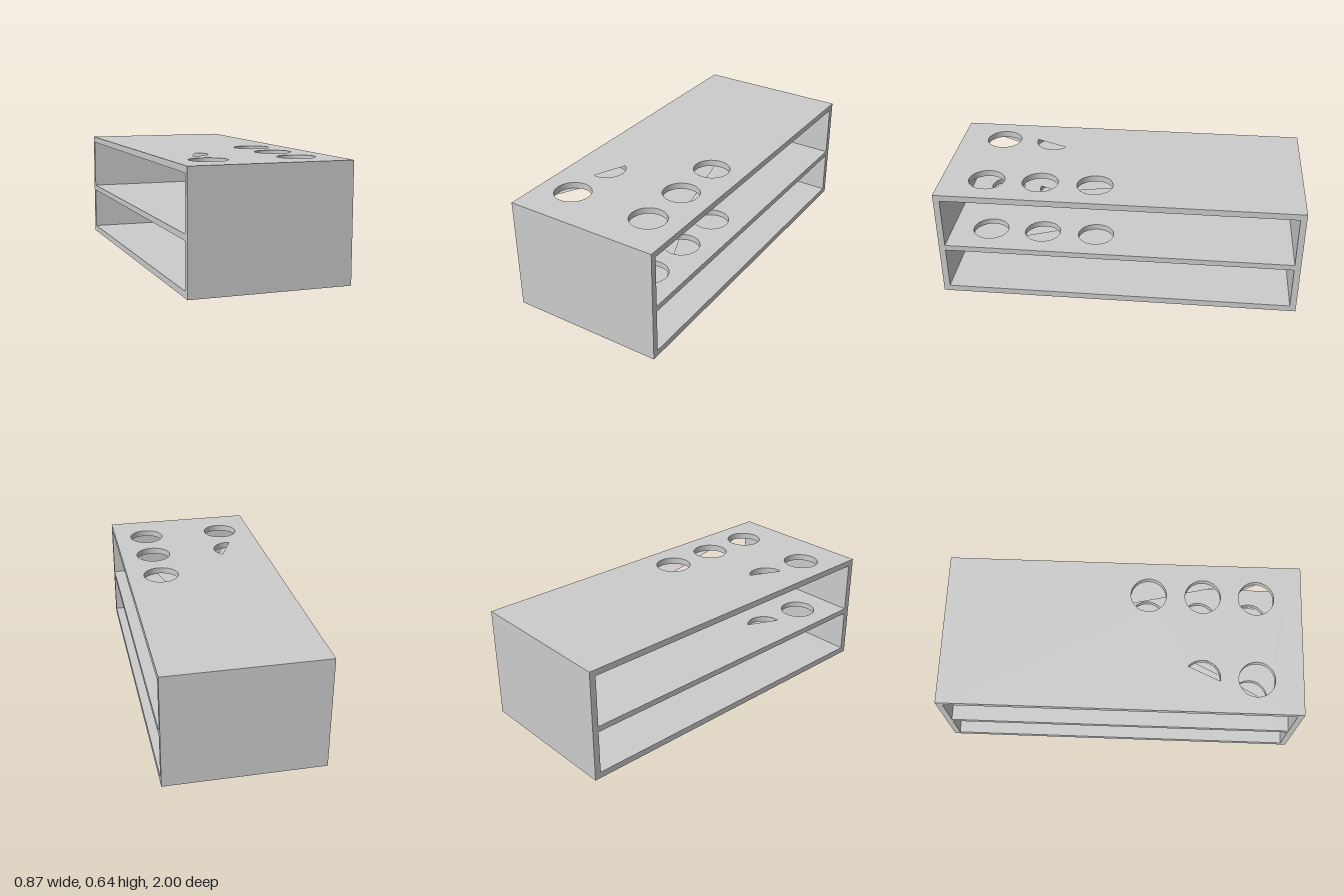
import * as THREE from 'three';

const W = 0.87, H = 0.637, L = 2, T = 0.035, R = 0.1, TAU = Math.PI * 2;
const COLUMNS = [-0.24, 0.24];
const ROWS = [0.745, 0.445, 0.14, -0.16, -0.46, -0.76];

const solid = new THREE.MeshStandardMaterial({ color: 0xcccccc });
const sheet = new THREE.MeshStandardMaterial({ color: 0xcccccc, side: THREE.DoubleSide });

function add(parent, name, geometry, material, x, y, z) {
  const mesh = new THREE.Mesh(geometry, material);
  mesh.name = name;
  mesh.position.set(x, y, z);
  parent.add(mesh);
  return mesh;
}

// Opening from angle a to b on the hole's rim, closed by a straight chord
function opening([x, z, a = 0, b = TAU]) {
  const n = 40, pts = [];
  const count = b - a >= TAU ? n - 1 : n;
  for (let i = 0; i <= count; i++) {
    const t = a + (b - a) * i / n;
    pts.push(new THREE.Vector2(x + R * Math.cos(t), z + R * Math.sin(t)));
  }
  return new THREE.Path(pts);
}

// Flat sheet in the x-z plane pierced by the given openings
function piercedSheet(openings) {
  const w = W / 2, l = L / 2 - T;
  const shape = new THREE.Shape([[-w, -l], [w, -l], [w, l], [-w, l]].map(p => new THREE.Vector2(...p)));
  shape.holes = openings.map(opening);
  return new THREE.ShapeGeometry(shape).rotateX(Math.PI / 2);
}

// Rack panel: upper and lower sheets, long edges and the walls of the holes
function rackPanel(name, y, thickness, upper, lower) {
  const panel = new THREE.Group();
  panel.name = name;
  panel.position.y = y;
  add(panel, 'upperSheet', piercedSheet(upper), sheet, 0, thickness, 0);
  add(panel, 'lowerSheet', piercedSheet(lower), sheet, 0, 0, 0);
  for (const s of [-1, 1]) {
    const edge = new THREE.PlaneGeometry(L - 2 * T, thickness).rotateY(s * Math.PI / 2);
    add(panel, 'longEdge', edge, solid, s * W / 2, thickness / 2, 0);
  }
  for (const x of COLUMNS) for (const z of ROWS) {
    const wall = new THREE.CylinderGeometry(R, R, thickness, 40, 1, true);
    add(panel, 'holeWall', wall, sheet, x, thickness / 2, z);
  }
  return panel;
}

export function createModel() {
  const model = new THREE.Group();
  model.name = 'holedRack';

  // Closed end walls and base
  for (const s of [-1, 1]) {
    add(model, s > 0 ? 'frontWall' : 'backWall', new THREE.BoxGeometry(W, H, T), solid, 0, H / 2, s * (L - T) / 2);
  }
  add(model, 'base', new THREE.BoxGeometry(W, T, L - 2 * T), solid, 0, T / 2, 0);

  // Openings, each as x, z and the open arc of the rim
  const [l, r] = COLUMNS, [z0, z1, z2, z3, z4, z5] = ROWS;
  const upper = [[r, z0], [r, z1], [r, z2], [l, z0], [l, z1, -0.89, 1.74]];
  const left = [[l, z0, -1.87, 2.87], [l, z1, -0.35, 1.27]];
  const topLower = [
    ...left, [r, z0, 0.05, 5.33], [r, z1, 0.75, 5.06], [r, z2, 1.52, 4.31],
    [r, z3, 2.9, 3.95], [r, z4, 1.8, 4.6], [r, z5, 1.2, 4.8],
  ];
  const shelfLower = [...left, [r, z0, 0.05, 5.33], [r, z1, 1.52, 3.99]];

  model.add(rackPanel('middleShelf', 0.28, 0.032, upper, shelfLower));
  model.add(rackPanel('topPanel', H - T, T, upper, topLower));
  return model;
}
